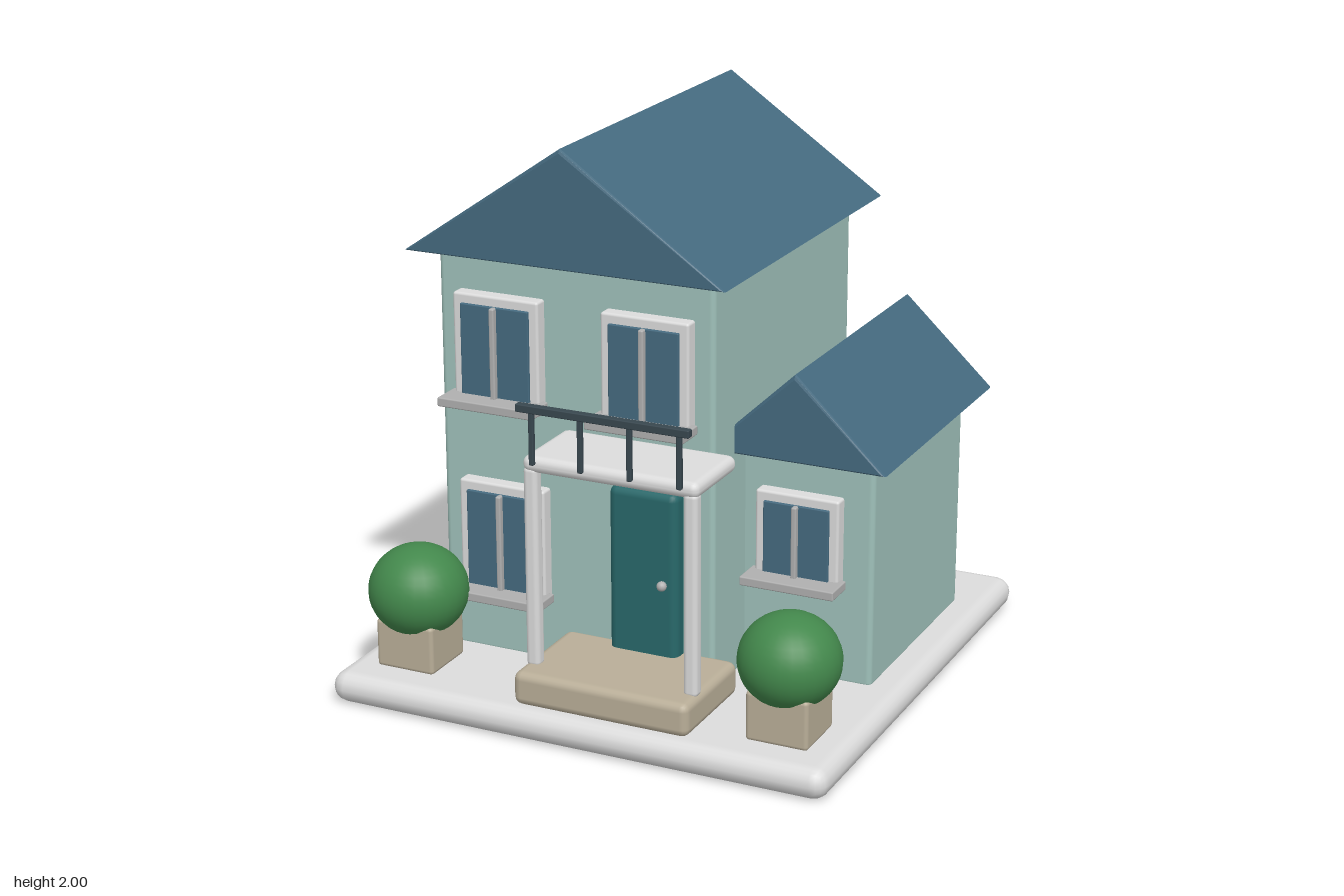
import * as THREE from 'three';
import { RoundedBoxGeometry } from 'three/addons/geometries/RoundedBoxGeometry.js';

const paint = (name, color) => {
  const m = new THREE.MeshStandardMaterial({ color });
  m.name = name;
  return m;
};

export function createModel() {
  const wall = paint('sage wall', 0x9fc1ba);
  const slate = paint('slate blue', 0x456a7f);
  const trim = paint('pale trim', 0xdcdcdc);
  const sillGrey = paint('sill grey', 0xb0b0b0);
  const teal = paint('door teal', 0x28686a);
  const stone = paint('sand stone', 0xb9ae98);
  const leaf = paint('leaf green', 0x43884c);
  const iron = paint('dark iron', 0x38474f);

  const house = new THREE.Group();
  house.name = 'house';

  const add = (name, geometry, material, parent = house) => {
    const mesh = new THREE.Mesh(geometry, material);
    mesh.name = name;
    parent.add(mesh);
    return mesh;
  };

  // Box given by its limits along each axis, with softened edges
  const block = (name, [x0, x1], [y0, y1], [z0, z1], material, radius = 0.01, parent = house, segments = 2) => {
    const g = new RoundedBoxGeometry(x1 - x0, y1 - y0, z1 - z0, segments, radius);
    g.translate((x0 + x1) / 2, (y0 + y1) / 2, (z0 + z1) / 2);
    return add(name, g, material, parent);
  };

  // Gable roof: triangular section run along z with a small bevel
  const roof = (name, [x0, x1], [y0, y1], [z0, z1]) => {
    const b = 0.012;
    const section = new THREE.Shape();
    section.moveTo(x0, y0);
    section.lineTo(x1, y0);
    section.lineTo((x0 + x1) / 2, y1);
    section.closePath();
    const g = new THREE.ExtrudeGeometry(section, {
      depth: z1 - z0 - 2 * b, bevelSize: b, bevelThickness: b, bevelOffset: -b, bevelSegments: 2,
    });
    g.translate(0, 0, z0 + b);
    return add(name, g, slate);
  };

  // Ground slab and the two volumes
  block('base', [-0.942, 0.942], [0, 0.115], [-0.942, 0.942], trim, 0.057);
  block('mainWalls', [-0.71, 0.34], [0.1, 1.59], [-0.7, 0.49], wall, 0.02);
  block('wingWalls', [0.3, 0.82], [0.1, 0.94], [-0.635, 0.23], wall, 0.02);
  roof('mainRoof', [-0.79, 0.42], [1.583, 2], [-0.805, 0.588]);
  roof('wingRoof', [0.227, 0.893], [0.928, 1.243], [-0.738, 0.326]);

  // Window: frame slab, glass, central bar and sill
  const addWindow = (name, x, y0, y1, z, width) => {
    const w = new THREE.Group();
    w.name = name;
    house.add(w);
    const h = width / 2;
    block('frame', [x - h, x + h], [y0, y1], [z - 0.01, z + 0.05], trim, 0.01, w);
    block('glass', [x - h + 0.033, x + h - 0.033], [y0 + 0.04, y1 - 0.035], [z + 0.04, z + 0.06], slate, 0.004, w);
    block('bar', [x - 0.01, x + 0.01], [y0 + 0.04, y1 - 0.035], [z + 0.05, z + 0.08], sillGrey, 0.006, w);
    block('sill', [x - h - 0.02, x + h + 0.02], [y0 + 0.02, y0 + 0.053], [z + 0.02, z + 0.14], sillGrey, 0.005, w);
  };
  addWindow('upperRightWindow', -0.465, 1.03, 1.443, 0.49, 0.33);
  addWindow('upperLeftWindow', 0.103, 1.03, 1.443, 0.49, 0.33);
  addWindow('lowerRightWindow', -0.455, 0.32, 0.76, 0.49, 0.335);
  addWindow('wingWindow', 0.555, 0.447, 0.795, 0.23, 0.31);

  // Front door with knob
  block('door', [-0.033, 0.228], [0.2, 0.832], [0.47, 0.552], teal, 0.03);
  add('doorKnob', new THREE.SphereGeometry(0.018, 16, 12), sillGrey).position.set(0.178, 0.5, 0.565);

  // Porch: step, posts and balcony slab
  block('step', [-0.235, 0.425], [0.11, 0.233], [0.47, 0.888], stone, 0.03);
  for (const x of [-0.203, 0.392]) {
    block('porchPost', [x - 0.026, x + 0.026], [0.22, 0.95], [0.747, 0.799], trim, 0.018);
  }
  block('balconySlab', [-0.232, 0.423], [0.93, 0.99], [0.48, 0.802], trim, 0.028);

  // Balcony railing
  block('handrail', [-0.24, 0.4], [1.15, 1.178], [0.793, 0.821], iron, 0.004);
  for (let i = 0; i < 4; i++) {
    const x = -0.185 + i * 0.182;
    block('railPost', [x - 0.009, x + 0.009], [0.965, 1.16], [0.798, 0.816], iron, 0.004);
  }

  // Planters with clipped bushes
  for (const side of [-1, 1]) {
    const p = new THREE.Group();
    p.name = side < 0 ? 'rightPlanter' : 'leftPlanter';
    p.position.set(side * 0.711, 0, 0.69);
    house.add(p);
    block('pot', [-0.113, 0.113], [0.11, 0.29], [-0.113, 0.113], stone, 0.015, p);
    const bush = add('bush', new THREE.SphereGeometry(0.178, 28, 20), leaf, p);
    bush.scale.y = 0.93;
    bush.position.y = 0.38;
  }
  return house;
}
